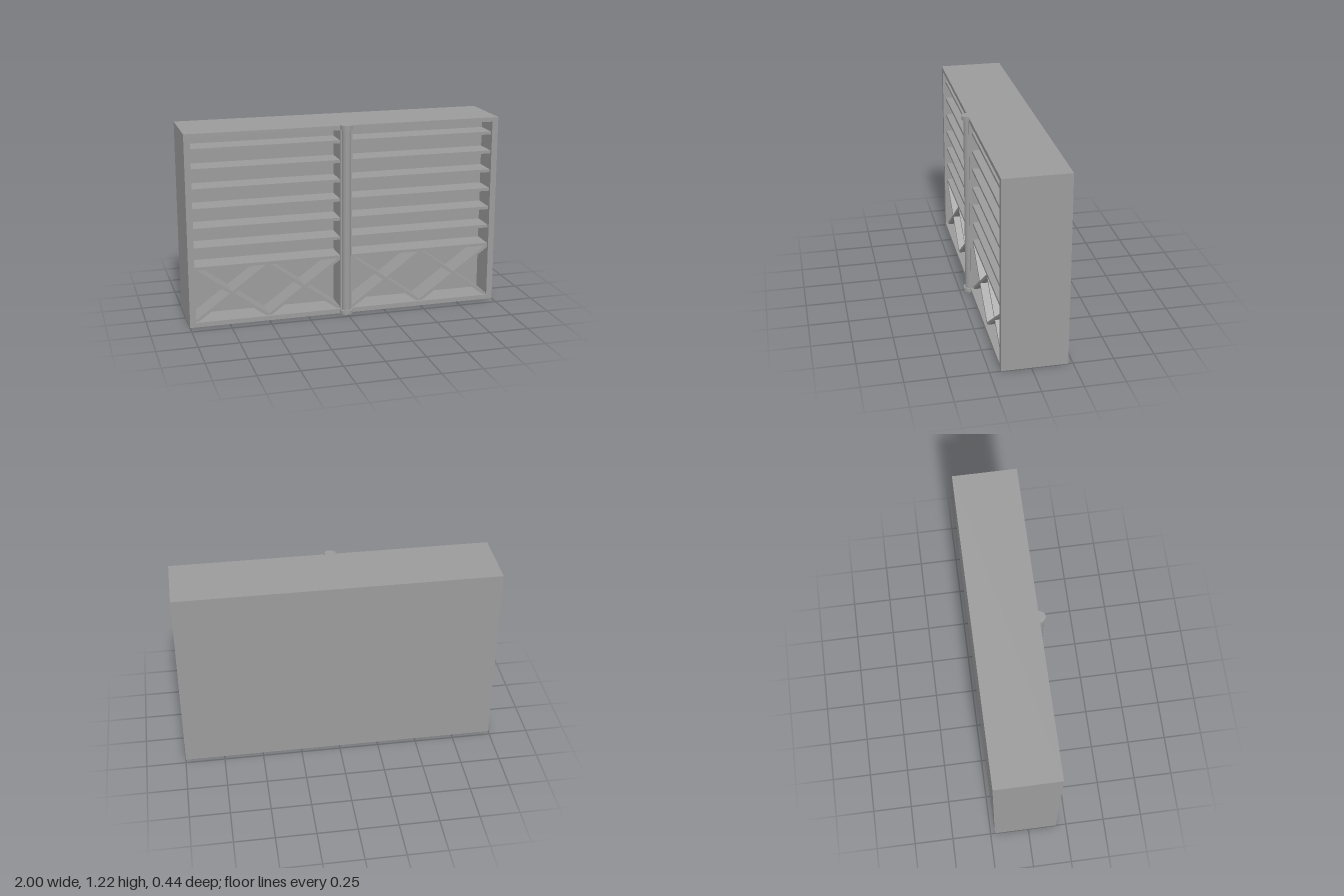
import * as THREE from 'three';

const material = new THREE.MeshStandardMaterial({ color: 0x9b9b9b, flatShading: true, side: THREE.DoubleSide });
const smooth = new THREE.MeshStandardMaterial({ color: 0x9b9b9b });

const HEIGHT = 1.217, FRONT = 0.183, BACK = -0.222;
const DEPTH = 0.17;                          // depth of the recesses
const INSET = 0.018;                         // shelves and boards sit behind the frame
const X0 = 0.037, X1 = 0.961;                // recess sides
const Y0 = 0.03, Y1 = 1.189;                 // recess floor and ceiling
const BOARD_Y0 = 0.027;                      // board tips dip through the floor
const BAY_TOP = 0.363;                       // top of the crossed bay
const SHELF = 0.019, PITCH = 0.1234, SHELVES = 7;

function add(parent, name, geometry, x = 0, y = 0, z = 0, mat = material) {
  const mesh = new THREE.Mesh(geometry, mat);
  mesh.name = name;
  mesh.position.set(x, y, z);
  parent.add(mesh);
  return mesh;
}

// Thin-walled box without the listed faces (0 +x, 1 -x, 2 +y, 3 -y, 4 +z, 5 -z)
function openBox(w, h, d, removed) {
  const box = new THREE.BoxGeometry(w, h, d);
  const index = Array.from(box.index.array).filter((_, i) => !removed.includes(Math.floor(i / 6)));
  box.setIndex(index);
  box.clearGroups();
  return box;
}

function polygon(points) {
  return new THREE.Shape(points.map(([x, y]) => new THREE.Vector2(x, y)));
}

// Diagonal board running from corner to corner, trimmed to its cell
function diagonal(w, h, thickness, rising) {
  const length = Math.hypot(w, h);
  const a = (thickness / 2) * length / h, b = (thickness / 2) * length / w;
  let points = [[0, 0], [a, 0], [w, h - b], [w, h], [w - a, h], [0, b]];
  if (!rising) points = points.map(([x, y]) => [w - x, y]).reverse();
  return new THREE.ExtrudeGeometry(polygon(points), { depth: DEPTH - INSET, bevelEnabled: false });
}

function halfCylinder(radius, height) {
  return new THREE.CylinderGeometry(radius, radius, height, 24, 1, false, -Math.PI / 2, Math.PI);
}

export function createModel() {
  const model = new THREE.Group();
  model.name = 'wineRack';

  // Outer shell: open below, with a pierced front
  add(model, 'shell', openBox(2, HEIGHT, FRONT - BACK, [3, 4]), 0, HEIGHT / 2, (FRONT + BACK) / 2);
  const face = polygon([[-1, 0], [1, 0], [1, HEIGHT], [-1, HEIGHT]]);
  for (const [l, r] of [[-X1, -X0], [X0, X1]]) {
    face.holes.push(polygon([[l, Y0], [l, Y1], [r, Y1], [r, Y0]]));
  }
  add(model, 'frontFrame', new THREE.ShapeGeometry(face), 0, 0, FRONT);

  const width = X1 - X0, cell = width / 2, backZ = FRONT - DEPTH;
  for (const side of [-1, 1]) {
    const half = new THREE.Group();
    half.name = side > 0 ? 'leftHalf' : 'rightHalf';
    model.add(half);
    const midX = side * (X0 + X1) / 2, left = midX - width / 2;

    // Recess
    add(half, 'recess', openBox(width, Y1 - Y0, DEPTH, [4]), midX, (Y0 + Y1) / 2, FRONT - DEPTH / 2);

    // Shelves
    for (let i = 0; i < SHELVES; i++) {
      const y = BAY_TOP + SHELF / 2 + i * PITCH;
      add(half, 'shelf', new THREE.BoxGeometry(width, SHELF, DEPTH - INSET), midX, y, backZ + (DEPTH - INSET) / 2);
    }

    // Two crosses of diagonal boards below the shelves
    for (let c = 0; c < 2; c++) {
      for (const rising of [true, false]) {
        add(half, 'diagonalBoard', diagonal(cell, BAY_TOP - BOARD_Y0, 0.018, rising), left + c * cell, BOARD_Y0, backZ);
      }
    }
  }

  // Half-round column with capital and foot
  add(model, 'column', halfCylinder(0.028, HEIGHT - 0.02), 0, HEIGHT / 2, FRONT, smooth);
  add(model, 'columnCapital', halfCylinder(0.037, 0.027), 0, 1.2065, FRONT, smooth).scale.z = 1.06;
  add(model, 'columnFoot', halfCylinder(0.04, 0.025), 0, 0.0125, FRONT, smooth);

  return model;
}
